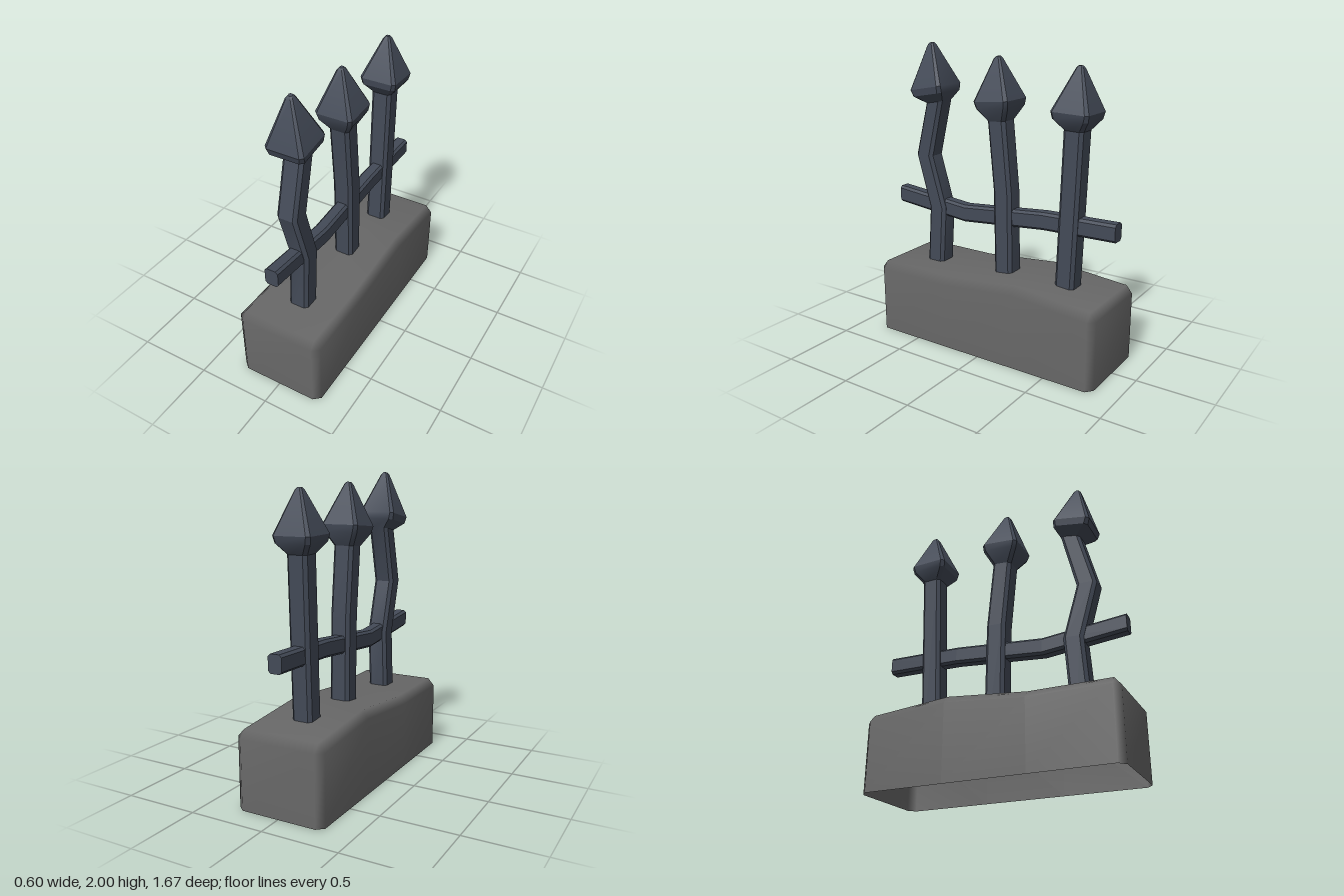
import * as THREE from 'three';
import { toCreasedNormals } from 'three/addons/utils/BufferGeometryUtils.js';

// Indexed geometry from corner points and triangle corners
function build(points, faces) {
  const g = new THREE.BufferGeometry();
  g.setAttribute('position', new THREE.Float32BufferAttribute(points, 3));
  g.setIndex(faces);
  g.computeVertexNormals();
  return g;
}

// Chamfered rectangle swept through rings in the x = 0 plane.
// ring: z, y, tilt (lean from vertical towards +z), hx and hd (half sizes), c (chamfer)
function sweep(rings) {
  const points = [], faces = [], n = 8;
  for (const { z, y, tilt, hx, hd, c } of rings) {
    const outline = [[hx, -hd + c], [hx, hd - c], [hx - c, hd], [-hx + c, hd],
      [-hx, hd - c], [-hx, -hd + c], [-hx + c, -hd], [hx - c, -hd]];
    for (const [u, v] of outline) points.push(u, y + v * Math.sin(tilt), z - v * Math.cos(tilt));
  }
  const last = (rings.length - 1) * n;
  for (let a = 0; a < last; a += n) {
    for (let i = 0; i < n; i++) {
      const j = (i + 1) % n;
      faces.push(a + i, a + j, a + n + j, a + i, a + n + j, a + n + i);
    }
  }
  for (let i = 1; i < n - 1; i++) {
    faces.push(0, i + 1, i, last, last + i, last + i + 1);
  }
  return toCreasedNormals(build(points, faces), 0.5);
}

// Lean of a path of [z, y] points at point i
function leanAt(path, i) {
  const a = path[Math.max(i - 1, 0)], b = path[Math.min(i + 1, path.length - 1)];
  return Math.atan2(b[0] - a[0], b[1] - a[1]);
}

// Bent bar topped by a four-sided spearhead
function postGeometry({ path, head, tip, lean }) {
  const rings = path.map(([z, y], i) => ({
    z, y, hx: 0.069, hd: 0.067, c: 0.021,
    tilt: i === path.length - 1 ? lean : leanAt(path, i),
  }));
  const add = (z, y, h, c) => rings.push({ z, y, tilt: lean, hx: h, hd: h, c });
  add(head[0] - 0.045 * Math.sin(lean), head[1] - 0.045 * Math.cos(lean), 0.12, 0.022);
  add(head[0], head[1], 0.128, 0.02);
  add(tip[0], tip[1] - 0.015, 0.025, 0.01);
  add(tip[0], tip[1], 0.013, 0.006);
  return sweep(rings);
}

// Stone block, open below, with chamfered edges and a slight hump on top
function baseGeometry() {
  const X = 0.3, Z = 0.835, xi = 0.255, zi = 0.795;
  const stations = [[zi, 0], [0.27, 0], [-0.265, 0.05], [-zi, 0.003]]; // z, lift
  const perimeter = [];
  for (const [z, lift] of stations) perimeter.push([X, z, lift, z]);
  perimeter.push([xi, -Z, 0.003, -zi], [-xi, -Z, 0.003, -zi]);
  for (const [z, lift] of [...stations].reverse()) perimeter.push([-X, z, lift, z]);
  perimeter.push([-xi, Z, 0, zi], [xi, Z, 0, zi]);
  const n = perimeter.length, points = [], faces = [];

  // bottom rim, then shoulder
  for (const [x, z] of perimeter) points.push(x, 0, z);
  for (const [x, z, lift] of perimeter) points.push(x, 0.45 + lift, z);
  // top corners, a pair for each station
  const top = 2 * n;
  for (const [z, lift] of stations) points.push(xi, 0.5 + lift, z, -xi, 0.5 + lift, z);
  const topOf = perimeter.map(([x, , , z]) =>
    top + 2 * stations.findIndex((s) => s[0] === z) + (x < 0 ? 1 : 0));

  for (let i = 0; i < n; i++) {
    const j = (i + 1) % n;
    faces.push(i, j, n + j, i, n + j, n + i);
    faces.push(n + i, n + j, topOf[j]);
    if (topOf[i] !== topOf[j]) faces.push(n + i, topOf[j], topOf[i]);
  }
  for (let k = 0; k < stations.length - 1; k++) {
    const a = top + 2 * k;
    faces.push(a, a + 2, a + 3, a, a + 3, a + 1);
  }
  return build(points, faces);
}

export function createModel() {
  const model = new THREE.Group();
  model.name = 'ironFence';

  const stone = new THREE.MeshStandardMaterial({ color: 0x676767, side: THREE.DoubleSide });
  stone.name = 'grey stone';
  const iron = new THREE.MeshStandardMaterial({ color: 0x434a57 });
  iron.name = 'dark iron';

  const add = (name, geometry, material) => {
    const mesh = new THREE.Mesh(geometry, material);
    mesh.name = name;
    model.add(mesh);
  };

  add('stoneBase', baseGeometry(), stone);

  // Spear-topped posts, front to back; points are [z, y]
  const posts = {
    frontPost: {
      path: [[0.537, 0.27], [0.495, 0.89], [0.599, 1.245], [0.506, 1.615]],
      head: [0.533, 1.712], tip: [0.555, 2.0], lean: 0.18,
    },
    middlePost: {
      path: [[-0.05, 0.27], [-0.036, 1.08], [0.008, 1.535]],
      head: [0.016, 1.666], tip: [0.027, 1.937], lean: 0.083,
    },
    backPost: {
      path: [[-0.495, 0.27], [-0.541, 1.53]],
      head: [-0.541, 1.642], tip: [-0.552, 1.91], lean: -0.03,
    },
  };
  for (const [name, spec] of Object.entries(posts)) add(name, postGeometry(spec), iron);

  // Sagging cross rail
  const railPath = [[-0.835, 0.937], [-0.33, 0.928], [0.28, 0.877], [0.835, 0.933]];
  add('crossRail', sweep(railPath.map(([z, y], i) => ({
    z, y, hx: 0.046, hd: 0.058, c: 0.016,
    tilt: i % 3 === 0 ? Math.PI / 2 : leanAt(railPath, i),
  }))), iron);

  return model;
}
